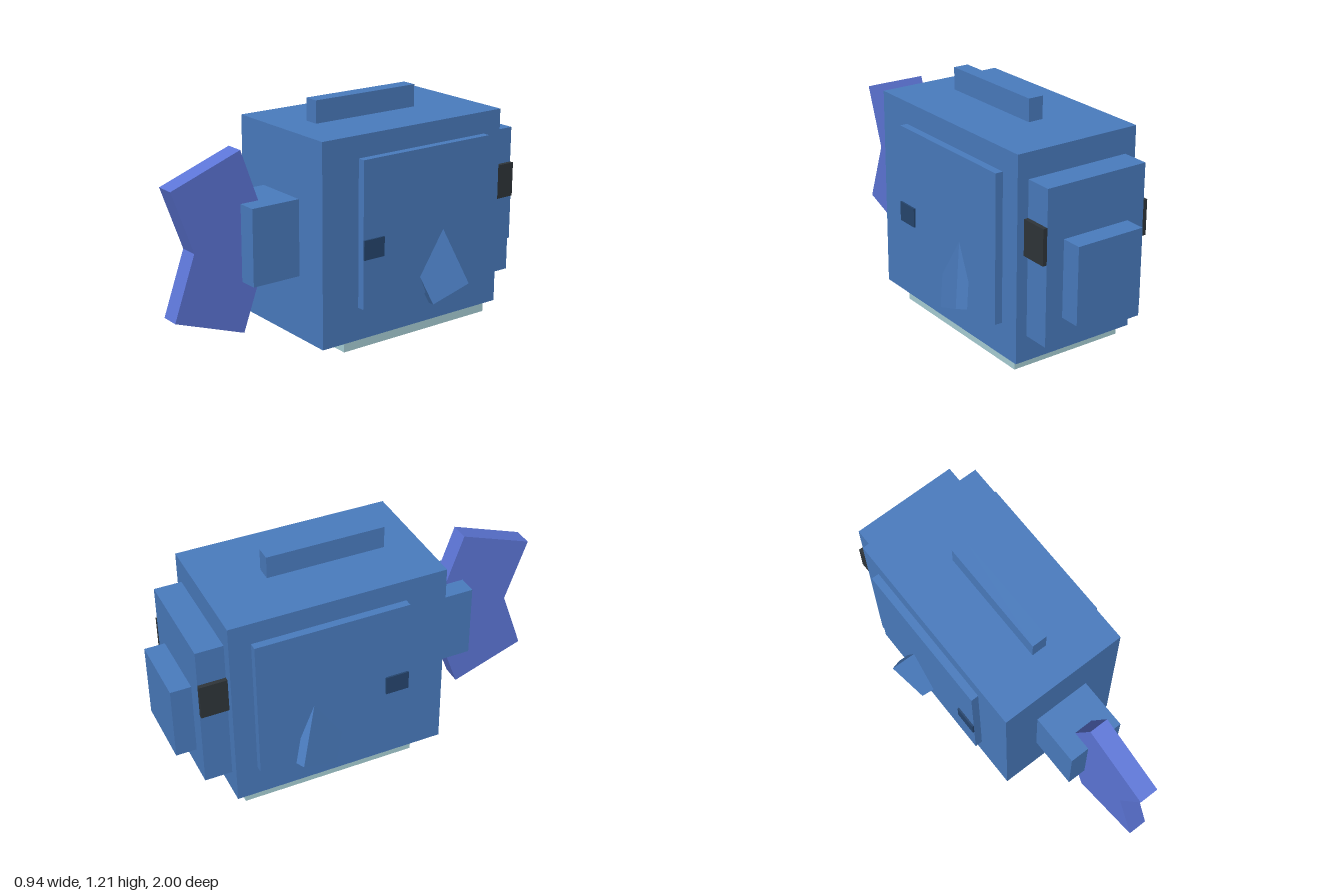
import * as THREE from 'three';

const mat = (name, color) => {
  const m = new THREE.MeshStandardMaterial({ color });
  m.name = name;
  return m;
};

export function createModel() {
  const fish = new THREE.Group();
  fish.name = 'blockFish';

  const blue = mat('bodyBlue', 0x4a7cbf);
  const violet = mat('tailViolet', 0x5d76d8);
  const teal = mat('bellyTeal', 0xaad2d8);
  const black = mat('eyeBlack', 0x2f3539);
  const navy = mat('spotNavy', 0x26466f);

  const add = (name, geometry, material) => {
    const mesh = new THREE.Mesh(geometry, material);
    mesh.name = name;
    fish.add(mesh);
    return mesh;
  };

  // Box given by its extents on each axis
  const block = (name, material, [x0, x1], [y0, y1], [z0, z1]) =>
    add(name, new THREE.BoxGeometry(x1 - x0, y1 - y0, z1 - z0), material)
      .position.set((x0 + x1) / 2, (y0 + y1) / 2, (z0 + z1) / 2);

  // Parts on the centre line; the face points to -z
  block('body', blue, [-0.34, 0.34], [0.06, 1.095], [-0.755, 0.36]);
  block('belly', teal, [-0.31, 0.31], [0, 0.06], [-0.705, 0.21]);
  block('dorsalFin', blue, [-0.04, 0.04], [1.095, 1.21], [-0.437, 0.177]);
  block('head', blue, [-0.28, 0.28], [0.19, 0.967], [-0.895, -0.755]);
  block('snout', blue, [-0.185, 0.185], [0.315, 0.705], [-1, -0.895]);
  block('tailBase', blue, [-0.15, 0.15], [0.385, 0.775], [0.36, 0.625]);

  // Forked tail, drawn as (z, y) and extruded across x
  const outline = [[1, 0.9], [0.62, 1.037], [0.455, 0.58], [0.62, 0.12], [1, 0.258], [0.885, 0.58]];
  const shape = new THREE.Shape(outline.map(([z, y]) => new THREE.Vector2(-z, y)));
  const tail = new THREE.ExtrudeGeometry(shape, { depth: 0.1, bevelEnabled: false });
  tail.translate(0, 0, -0.05).rotateY(Math.PI / 2);
  add('tailFin', tail, violet);

  // Parts on both sides
  for (const s of [1, -1]) {
    const side = s > 0 ? 'left' : 'right';
    const span = (a, b) => (s > 0 ? [a, b] : [-b, -a]);
    block(side + 'SidePanel', blue, span(0.34, 0.38), [0.23, 0.982], [-0.645, 0.147]);
    block(side + 'Eye', black, span(0.28, 0.302), [0.602, 0.782], [-0.895, -0.755]);
    block(side + 'Spot', navy, span(0.38, 0.389), [0.485, 0.585], [0.025, 0.147]);

    // Flared pectoral fin: a slab whose upper end is sunk into the panel
    const up = new THREE.Vector3(-0.09 * s, 0.285, 0.1).normalize();
    const along = new THREE.Vector3(-0.045 * s, -0.08, 0.195);
    along.addScaledVector(up, -along.dot(up)).normalize();
    const across = new THREE.Vector3().crossVectors(up, along);
    const fin = add(side + 'PectoralFin', new THREE.BoxGeometry(0.057, 0.4, 0.216), blue);
    fin.quaternion.setFromRotationMatrix(new THREE.Matrix4().makeBasis(across, up, along));
    fin.position.set(0.47 * s, 0.26, -0.455) // lower outer corner
      .addScaledVector(across, -0.0285 * s)
      .addScaledVector(up, 0.2)
      .addScaledVector(along, 0.108);
  }
  return fish;
}
